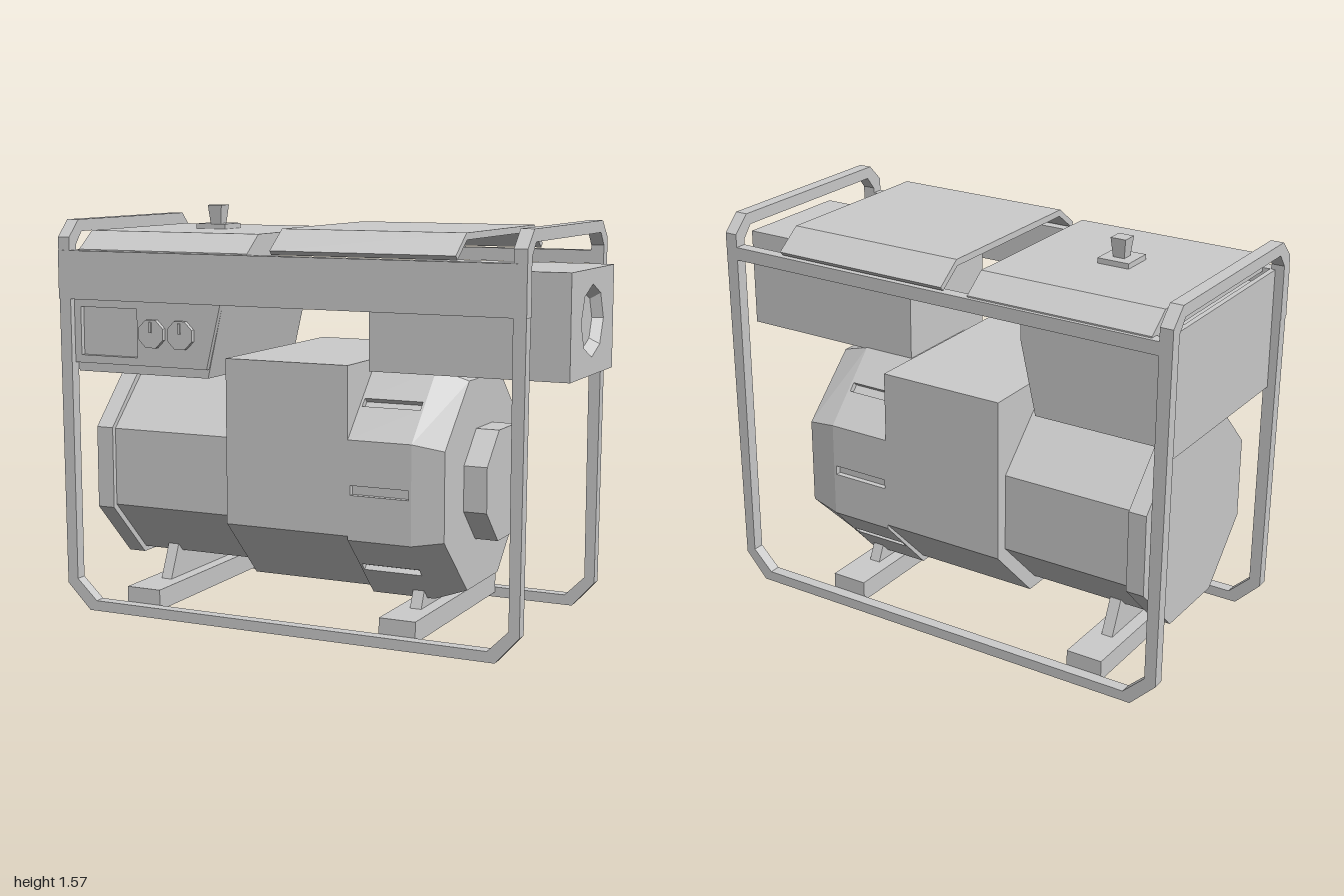
import * as THREE from 'three';

export function createModel() {
  const model = new THREE.Group();
  const mat = new THREE.MeshStandardMaterial({ color: 0xcccccc, flatShading: true, side: THREE.DoubleSide });

  const add = (name, geometry) => {
    const mesh = new THREE.Mesh(geometry, mat);
    mesh.name = name;
    model.add(mesh);
    return mesh;
  };
  // Box from its lower and upper limits on each axis
  const box = (name, x0, x1, y0, y1, z0, z1) =>
    add(name, new THREE.BoxGeometry(x1 - x0, y1 - y0, z1 - z0)
      .translate((x0 + x1) / 2, (y0 + y1) / 2, (z0 + z1) / 2));
  const shape = (pts) => new THREE.Shape(pts.map(([x, y]) => new THREE.Vector2(x, y)));
  const hole = (pts) => new THREE.Path(pts.map(([x, y]) => new THREE.Vector2(x, y)));
  const extrude = (s, depth) => new THREE.ExtrudeGeometry(s, { depth, bevelEnabled: false });
  const rect = (x0, x1, y0, y1) => [[x0, y0], [x1, y0], [x1, y1], [x0, y1]];

  // Skin between cross-sections [x, [[z, y], ...]] with flat end caps
  const loft = (name, sections) => {
    const p = [];
    const put = (x, [z, y]) => p.push(x, y, z);
    sections.slice(1).forEach(([x1, b], k) => {
      const [x0, a] = sections[k];
      a.forEach((_, i) => {
        const j = (i + 1) % a.length;
        put(x0, a[i]); put(x1, b[i]); put(x1, b[j]);
        put(x0, a[i]); put(x1, b[j]); put(x0, a[j]);
      });
    });
    const [xs, s] = sections[0], [xe, e] = sections[sections.length - 1];
    for (let i = 1; i < s.length - 1; i++) {
      put(xs, s[0]); put(xs, s[i]); put(xs, s[i + 1]);
      put(xe, e[0]); put(xe, e[i + 1]); put(xe, e[i]);
    }
    const g = new THREE.BufferGeometry();
    g.setAttribute('position', new THREE.Float32BufferAttribute(p, 3));
    g.computeVertexNormals();
    return add(name, g);
  };
  const octagon = (h, f, bottom, lo, hi, top) => [
    [h, lo], [h, hi], [f, top], [-f, top], [-h, hi], [-h, lo], [-f, bottom], [f, bottom]];

  // Side frames with chamfered lower corners
  const side = shape([
    [-1, 1.42], [-0.99, 0.1], [-0.89, 0], [0.79, 0], [0.88, 0.1], [0.89, 1.42],
    [0.84, 1.42], [0.84, 0.12], [0.76, 0.04], [-0.86, 0.04], [-0.945, 0.12], [-0.95, 1.42]]);
  for (const z of [0.41, -0.455]) add('sideFrame', extrude(side, 0.045).translate(0, 0, z));

  // Lifting hoops over both ends
  const hoop = shape([
    [-0.455, 1.42], [-0.455, 1.45], [-0.39, 1.515], [0.39, 1.515], [0.455, 1.45], [0.455, 1.42],
    [0.41, 1.42], [0.37, 1.47], [-0.37, 1.47], [-0.41, 1.42]]);
  for (const x of [-1, 0.84]) add('endHoop', extrude(hoop, 0.05).rotateY(Math.PI / 2).translate(x, 0, 0));

  // Upper rails and panels
  box('frontPanel', -1, 0.89, 1.215, 1.4, 0.41, 0.458);
  box('backRail', -0.97, 0.87, 1.35, 1.4, -0.455, -0.41);
  box('endPanel', -0.965, -0.945, 0.94, 1.4, -0.41, 0.41);

  // Cross feet and engine mounts
  for (const [x, top] of [[-0.673, 0.23], [0.397, 0.165]]) {
    box('crossFoot', x - 0.072, x + 0.072, 0.02, 0.1, -0.41, 0.41);
    const w = 0.24 - (top - 0.1) * 0.45;
    add('engineMount', extrude(shape([[-0.24, 0.1], [0.24, 0.1], [w, top], [-w, top]]), 0.045)
      .rotateY(Math.PI / 2).translate(x - 0.022, 0, 0));
  }

  // Alternator and engine block
  const cap = octagon(0.38, 0.16, 0.18, 0.4, 0.715, 0.94);
  loft('alternatorCap', [[-0.89, cap], [-0.82, cap]]);
  const body = octagon(0.36, 0.15, 0.2, 0.41, 0.71, 0.917);
  loft('alternator', [[-0.82, body], [-0.3, body]]);
  const block = [[0.41, 0.39], [0.41, 1.015], [-0.41, 1.015], [-0.41, 0.39], [-0.18, 0.155], [0.18, 0.155]];
  loft('engineBlock', [[-0.3, block], [0.2, block]]);

  // Fan shroud: core wrapped in plates, with vent slots on the sloping and upright ones
  const outer = octagon(0.41, 0.18, 0.13, 0.375, 0.745, 0.99);
  const core = octagon(0.388, 0.17, 0.152, 0.383, 0.737, 0.968);
  loft('shroudCore', [[0.2, core], [0.45, core]]);
  outer.forEach(([z, y], i) => {
    const [z1, y1] = outer[(i + 1) % 8];
    const len = Math.hypot(z1 - z, y1 - y);
    const plate = shape(rect(0.2, 0.45, 0, len));
    if (i !== 2 && i !== 6) plate.holes.push(hole(rect(0.21, 0.44, len / 2 - 0.018, len / 2 + 0.018)));
    const along = new THREE.Vector3(0, (y1 - y) / len, (z1 - z) / len);
    const xAxis = new THREE.Vector3(1, 0, 0);
    const out = new THREE.Vector3().crossVectors(xAxis, along);
    const m = new THREE.Matrix4().makeBasis(xAxis, along, out).setPosition(0, y, z);
    add('shroudPlate', extrude(plate, 0.022).translate(0, 0, -0.022).applyMatrix4(m));
  });
  loft('shroudNose', [[0.45, outer], [0.57, octagon(0.39, 0.16, 0.17, 0.395, 0.725, 0.95)]]);
  const hub = octagon(0.205, 0.085, 0.35, 0.475, 0.645, 0.765);
  loft('starterHub', [[0.57, hub], [0.66, hub]]);

  // Control box with slanted inner end
  add('controlBox', extrude(shape([
    [-0.945, 0.935], [-0.375, 0.935], [-0.31, 1.215], [-0.31, 1.34], [-0.945, 1.34]]), 0.69).translate(0, 0, -0.28));
  const face = shape([[-0.95, 0.97], [-0.37, 0.97], [-0.31, 1.215], [-0.95, 1.215]]);
  face.holes.push(hole(rect(-0.92, -0.67, 1.0, 1.185)));
  add('controlFace', extrude(face, 0.02).translate(0, 0, 0.41));
  for (const x of [-0.6, -0.475]) {
    add('dial', new THREE.CylinderGeometry(0.057, 0.057, 0.02, 8).rotateY(Math.PI / 8)
      .rotateX(Math.PI / 2).translate(x, 1.095, 0.438));
    box('dialPointer', x - 0.005, x + 0.005, 1.1, 1.14, 0.445, 0.453);
  }

  // Fuel tank and its cap
  const tank = [[0.44, 1.385], [0.44, 1.405], [0.35, 1.473], [-0.35, 1.473], [-0.44, 1.405], [-0.44, 1.385]];
  loft('fuelTank', [[-0.915, tank], [-0.19, tank]]);
  box('capPlate', -0.618, -0.492, 1.473, 1.493, -0.063, 0.063);
  add('capKnob', new THREE.CylinderGeometry(0.043, 0.032, 0.072, 4).rotateY(Math.PI / 4)
    .translate(-0.555, 1.529, 0));

  // Bent sheet cover
  add('sheetCover', extrude(shape([
    [-0.455, 1.42], [-0.355, 1.495], [0.355, 1.495], [0.455, 1.42], [0.44, 1.404],
    [0.35, 1.47], [-0.35, 1.47], [-0.44, 1.404]]), 0.72).rotateY(Math.PI / 2).translate(-0.09, 0, 0));

  // Muffler box with recessed octagonal outlet
  box('mufflerBox', 0.24, 0.965, 0.985, 1.365, -0.18, 0.315);
  const end = shape(rect(-0.315, 0.18, 0.985, 1.365));
  end.holes.push(hole([...Array(8).keys()].map((k) => [
    -0.07 + 0.13 * Math.cos(k * Math.PI / 4), 1.18 + 0.13 * Math.sin(k * Math.PI / 4)])));
  add('mufflerEnd', extrude(end, 0.035).rotateY(Math.PI / 2).translate(0.965, 0, 0));
  add('mufflerOutlet', new THREE.CylinderGeometry(0.13, 0.1, 0.034, 8, 1, true)
    .rotateZ(-Math.PI / 2).translate(0.983, 1.18, 0.07));

  return model;
}
